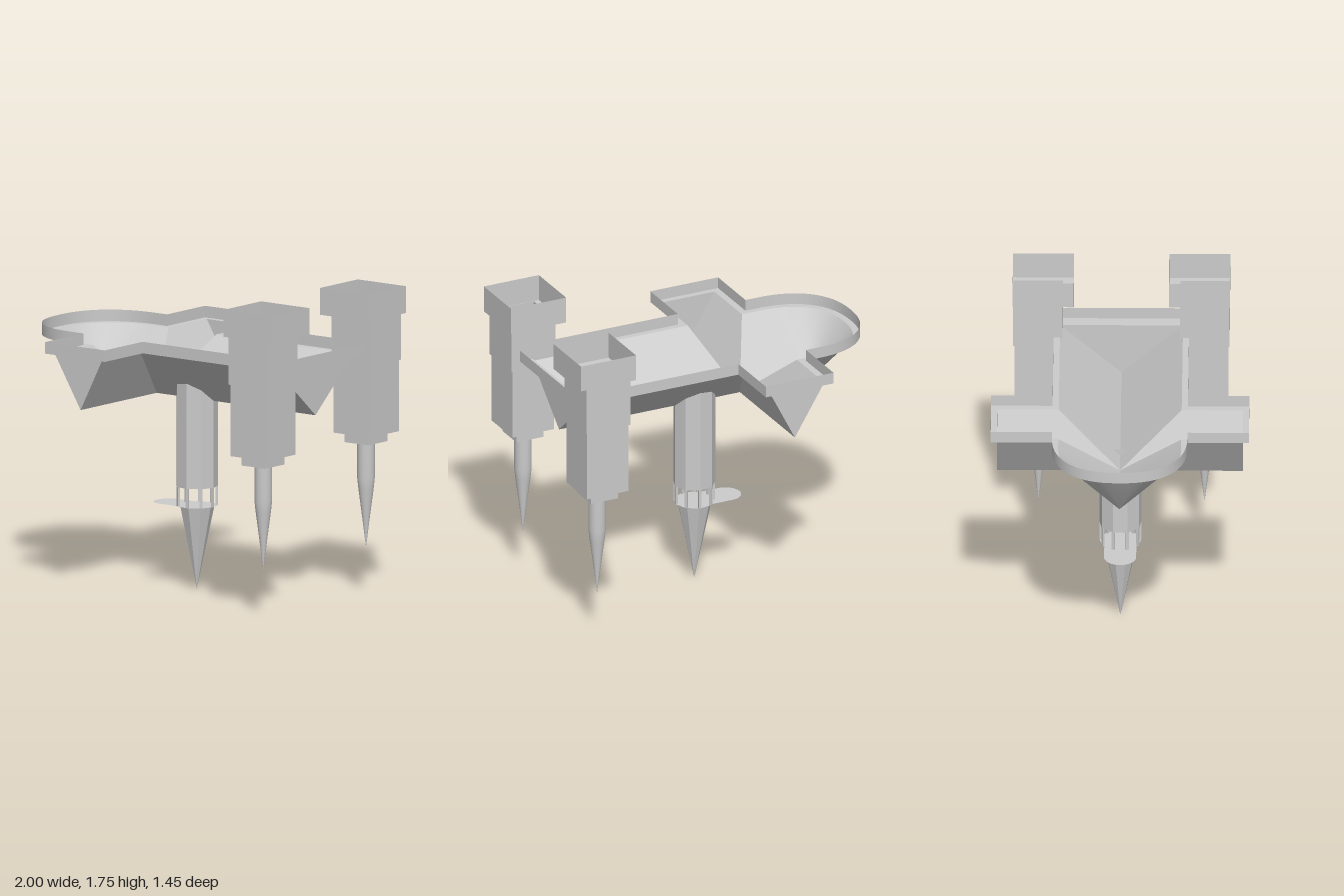
import * as THREE from 'three';
import { toCreasedNormals } from 'three/addons/utils/BufferGeometryUtils.js';

const flat = new THREE.MeshStandardMaterial({ color: 0xcccccc, side: THREE.DoubleSide, flatShading: true });
const smooth = new THREE.MeshStandardMaterial({ color: 0xcccccc, side: THREE.DoubleSide });

const EAVE = 1.387, RIM = 1.453, RIDGE = 1.085;
const CROSS_X = -0.305, NAVE_END = 0.83, HALF = 0.345;

function mesh(name, geometry, material = flat) {
  const m = new THREE.Mesh(geometry, material);
  m.name = name;
  return m;
}

// Triangulates convex polygons given as lists of [x, y, z]
function polygons(faces) {
  const pos = [];
  for (const f of faces)
    for (let i = 1; i < f.length - 1; i++) pos.push(...f[0], ...f[i], ...f[i + 1]);
  const g = new THREE.BufferGeometry();
  g.setAttribute('position', new THREE.Float32BufferAttribute(pos, 3));
  g.computeVertexNormals();
  return g;
}

// Side strip between two rings with equal point counts
function strip(a, b) {
  return a.map((p, i) => {
    const j = (i + 1) % a.length;
    return [p, a[j], b[j], b[i]];
  });
}

// Rounded apse end, from the straight side to the middle
function apse(startX, length, half, n = 16) {
  const pts = [];
  for (let i = 0; i <= n; i++) {
    const t = (i / n) * Math.PI / 2;
    pts.push([startX - length * Math.pow(Math.sin(t), 0.85), half * Math.pow(Math.max(0, Math.cos(t)), 0.85)]);
  }
  return pts;
}

// Closed cross-shaped plan as [x, z] points
function plan(endX, half, transeptHalfZ, x0, x1, apseLength) {
  const side = [[endX, half], [x1, half], [x1, transeptHalfZ], [x0, transeptHalfZ], [x0, half],
    ...apse(-0.6, apseLength, half)];
  const mirrored = side.slice(0, -1).reverse().map(([x, z]) => [x, -z]);
  return [...side, ...mirrored];
}

// Inverted cross roof: nave, transepts, gables and rounded apse
function roof() {
  const R = RIDGE, E = EAVE, w = HALF, T = 0.69, a = -0.49, b = -0.15, c = CROSS_X, apexX = -0.755;
  const half = [
    [[c, R, 0], [NAVE_END, R, 0], [NAVE_END, E, w], [b, E, w]],
    [[apexX, R, 0], [c, R, 0], [a, E, w], [-0.6, E, w]],
    [[c, R, 0], [b, E, w], [b, E, T], [c, R, T]],
    [[c, R, 0], [c, R, T], [a, E, T], [a, E, w]],
    [[c, R, T], [b, E, T], [a, E, T]],
    [[NAVE_END, R, 0], [NAVE_END, E, 0], [NAVE_END, E, w]],
  ];
  const curve = apse(-0.6, 0.36, w);
  for (let i = 0; i < curve.length - 1; i++)
    half.push([[apexX, R, 0], [curve[i][0], E, curve[i][1]], [curve[i + 1][0], E, curve[i + 1][1]]]);
  const other = half.map(f => f.map(([x, y, z]) => [x, y, -z]).reverse());
  return mesh('roof', toCreasedNormals(polygons([...half, ...other]), 0.5), smooth);
}

// Low wall around the plan and the flat ledge joining it to the eaves
function rim() {
  const g = new THREE.Group();
  g.name = 'rim';
  const outer = plan(0.91, 0.38, 0.725, -0.53, -0.105, 0.4);
  const inner = plan(NAVE_END, HALF, 0.69, -0.49, -0.15, 0.36);
  const wall = polygons(strip(outer.map(([x, z]) => [x, EAVE, z]), outer.map(([x, z]) => [x, RIM, z])));
  g.add(mesh('wall', toCreasedNormals(wall, 0.5), smooth));
  const shape = new THREE.Shape(outer.map(p => new THREE.Vector2(...p)));
  shape.holes.push(new THREE.Path(inner.map(p => new THREE.Vector2(...p))));
  g.add(mesh('ledge', new THREE.ShapeGeometry(shape).rotateX(Math.PI / 2).translate(0, EAVE, 0)));
  return g;
}

// Open stepped square tower with a round spike below
function cornerTower(s) {
  const g = new THREE.Group();
  g.name = s > 0 ? 'leftTower' : 'rightTower';
  const ring = (x0, x1, z0, z1, y) => [[x0, y, z0 * s], [x1, y, z0 * s], [x1, y, z1 * s], [x0, y, z1 * s]];
  const steps = [
    [0.652, 0.997, 0.267, 0.61, 1.753, 1.6],
    [0.686, 0.962, 0.33, 0.607, 1.6, 1.33],
    [0.694, 0.953, 0.338, 0.6, 1.33, 0.922],
    [0.737, 0.908, 0.38, 0.555, 0.922, 0.867],
  ];
  const rings = steps.flatMap(([a, b, c, d, top, low]) => [ring(a, b, c, d, top), ring(a, b, c, d, low)]);
  const faces = [rings[rings.length - 1]];
  for (let i = 0; i < rings.length - 1; i++) faces.push(...strip(rings[i], rings[i + 1]));
  g.add(mesh('shaft', polygons(faces)));

  const profile = [[0, 0.265], [0.022, 0.44], [0.043, 0.6], [0.05, 0.665], [0.05, 0.87]];
  const spike = mesh('spike', new THREE.LatheGeometry(profile.map(p => new THREE.Vector2(...p)), 20), smooth);
  spike.position.set(0.824, 0, 0.466 * s);
  g.add(spike);
  return g;
}

// Nine-sided central steeple with open gallery and pointed tip
function steeple() {
  const g = new THREE.Group();
  g.name = 'steeple';
  g.position.x = -0.018;
  const N = 9, r = 0.12, low = 0.588, base = 0.478;
  const corner = (i, rad) => [rad * Math.cos(i * 2 * Math.PI / N), rad * Math.sin(i * 2 * Math.PI / N)];
  const corners = Array.from({ length: N }, (_, i) => corner(i, r));

  // Shaft, its top cut to follow the roof slopes
  const slope = (EAVE - RIDGE) / HALF;
  const bottom = corners.map(([x, z]) => [x, low, z]);
  const top = corners.map(([x, z]) => [x, RIDGE + Math.abs(z) * slope, z]);
  g.add(mesh('steepleShaft', polygons([...strip(bottom, top), bottom])));

  // Gallery posts
  for (let i = 0; i < N; i++) {
    const [x, z] = corner(i, r - 0.008);
    const post = mesh('galleryPost', new THREE.BoxGeometry(0.012, low - base, 0.016));
    post.position.set(x, (low + base) / 2, z);
    post.rotation.y = -i * 2 * Math.PI / N;
    g.add(post);
  }

  // Gallery floor and the rounded plate reaching out to the side
  g.add(mesh('galleryFloor', polygons([corners.map(([x, z]) => [x, base, z])])));
  const plate = new THREE.Shape();
  plate.moveTo(0, 0.09);
  plate.lineTo(-0.195, 0.09);
  plate.absarc(-0.195, 0, 0.09, Math.PI / 2, Math.PI * 1.5, false);
  plate.lineTo(0, -0.09);
  g.add(mesh('sidePlate', new THREE.ShapeGeometry(plate, 16).rotateX(Math.PI / 2).translate(0, base - 0.002, 0)));

  // Pointed tip
  const rim = Array.from({ length: N }, (_, i) => corner(i, 0.1));
  const tip = rim.map(([x, z], i) => {
    const [x2, z2] = rim[(i + 1) % N];
    return [[0, 0, 0], [x, base, z], [x2, base, z2]];
  });
  g.add(mesh('steepleTip', polygons(tip)));
  return g;
}

export function createModel() {
  const model = new THREE.Group();
  model.name = 'invertedChurch';
  model.add(roof(), rim(), steeple(), cornerTower(1), cornerTower(-1));
  return model;
}
